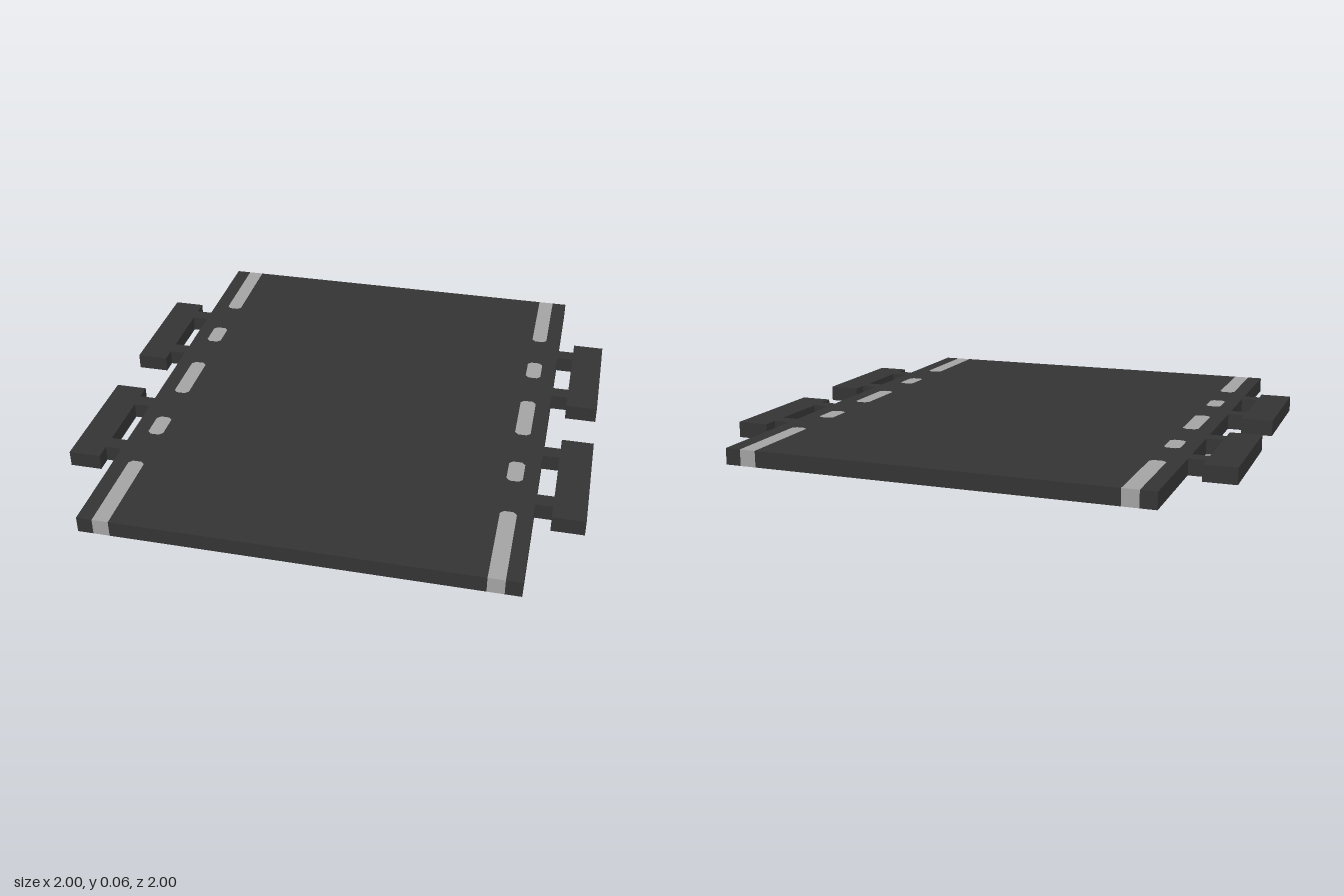
import * as THREE from 'three';

const H = 0.0625;              // slab thickness
const W = 0.81;                // half width of the deck
const X0 = 0.6875, X1 = 0.75;  // stripe band
const C = 0.014;               // stripe corner cut

export function createModel() {
  const dark = new THREE.MeshStandardMaterial({ color: 0x343434 });
  dark.name = 'dark grey';
  const light = new THREE.MeshStandardMaterial({ color: 0xa4a4a4 });
  light.name = 'light grey';

  const model = new THREE.Group();
  model.name = 'trackPlate';

  const toPoints = (list) => list.map(([x, y]) => new THREE.Vector2(x, y));

  // Flat plan outline raised to the slab thickness
  function addPlate(name, shape, material) {
    const geometry = new THREE.ExtrudeGeometry(shape, { depth: H, bevelEnabled: false });
    geometry.rotateX(-Math.PI / 2);
    const mesh = new THREE.Mesh(geometry, material);
    mesh.name = name;
    model.add(mesh);
  }

  // Dash with cut corners, on side s, from a to b along the length
  const dash = (s, a, b) => toPoints([
    [X0 + C, a], [X1 - C, a], [X1, a + C], [X1, b - C],
    [X1 - C, b], [X0 + C, b], [X0, b - C], [X0, a + C],
  ].map(([x, y]) => [s * x, y]));

  // Notch for an end stripe, cut into one corner quarter
  const notch = [
    [X1, 1], [X1, 0.625 + C], [X1 - C, 0.625],
    [X0 + C, 0.625], [X0, 0.625 + C], [X0, 1],
  ];
  const quarter = [[W, 1], ...notch];
  const mirror = (list, sx, sy) => list.map(([x, y]) => [x * sx, y * sy]);

  // Deck with four end notches and slots for the inlaid dashes
  const deck = new THREE.Shape(toPoints([
    ...quarter,
    ...mirror(quarter, -1, 1).reverse(),
    ...mirror(quarter, -1, -1),
    ...mirror(quarter, 1, -1).reverse(),
  ]));
  const dashes = [[-0.4375, -0.3125], [-0.125, 0.125], [0.3125, 0.4375]];
  for (const s of [-1, 1]) {
    for (const [a, b] of dashes) {
      deck.holes.push(new THREE.Path(dash(s, a, b)));
      addPlate('dash', new THREE.Shape(dash(s, a, b)), light);
    }
    for (const e of [-1, 1]) {
      addPlate('endStripe', new THREE.Shape(toPoints(mirror(notch, s, e))), light);
    }
  }
  addPlate('deck', deck, dark);

  // Side brackets: an outer bar held by two short arms
  function addBox(name, x0, x1, z0, z1) {
    const mesh = new THREE.Mesh(new THREE.BoxGeometry(x1 - x0, H, z1 - z0), dark);
    mesh.position.set((x0 + x1) / 2, H / 2, (z0 + z1) / 2);
    mesh.name = name;
    return mesh;
  }
  for (const s of [-1, 1]) {
    for (const z of [-0.375, 0.375]) {
      const bracket = new THREE.Group();
      bracket.name = 'sideBracket';
      bracket.add(addBox('outerBar', 0.875, 1, -0.25, 0.25));
      for (const a of [-0.156, 0.156]) {
        bracket.add(addBox('arm', W, 0.875, a - 0.031, a + 0.031));
      }
      bracket.position.z = z;
      bracket.rotation.y = s < 0 ? Math.PI : 0;
      model.add(bracket);
    }
  }
  return model;
}
